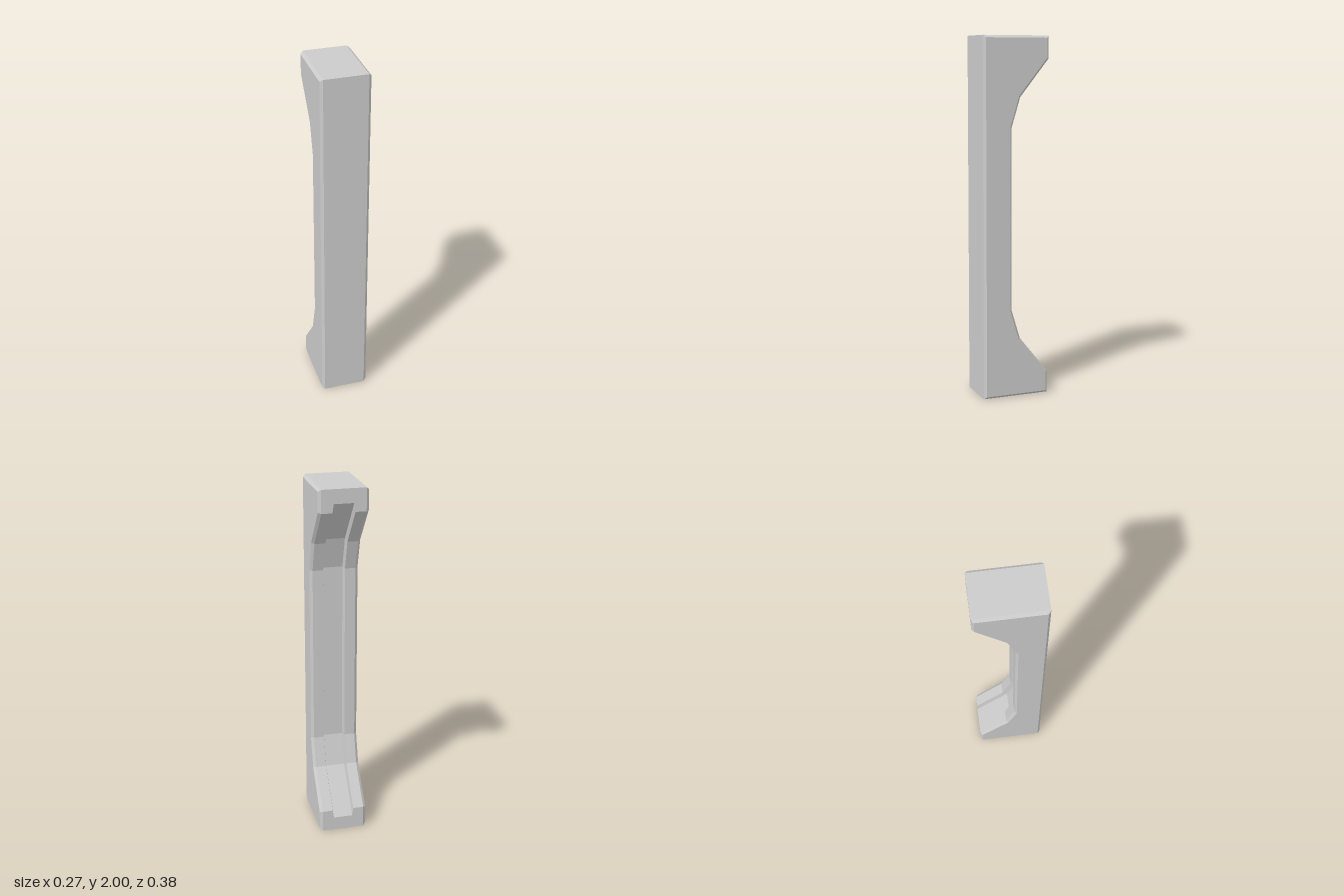
import * as THREE from 'three';

// Side outline (z, y), counter-clockwise seen from +x.
// edge: inset of the outer block; depth: inset of the hollowed back.
function outline(edge, depth) {
  const lower = [
    [0.19 - edge, edge],
    [-0.19 + edge, edge],
    [-0.19 + edge, 0.125 + edge * 1.21 - depth * 1.57],
    [-0.025 + depth * 0.9, 0.33 - depth * 0.49],
    [0.025 + depth, 0.495 - depth * 0.15],
  ];
  const upper = lower.map(([z, y]) => [z, 2 - y]).reverse();
  return [...lower, ...upper];
}

// Stations across the width: [x, edge inset, back inset]
const half = [
  [0.135, 0.013, 0.013], // chamfered side
  [0.12, 0, 0],          // flat border
  [0.061, 0, 0],         // lip of the groove
  [0.054, 0, 0.03],      // groove floor
];
const stations = [
  ...half.map(([x, e, d]) => [-x, e, d]),
  ...half.slice().reverse(),
];

function bracketGeometry() {
  const rings = stations.map(([x, e, d]) =>
    outline(e, d).map(([z, y]) => new THREE.Vector3(x, y, z)));
  const points = [];

  // Skin between neighbouring stations
  for (let k = 0; k < rings.length - 1; k++) {
    const r = rings[k], s = rings[k + 1];
    for (let i = 0; i < r.length; i++) {
      const j = (i + 1) % r.length;
      points.push(r[i], r[j], s[j], r[i], s[j], s[i]);
    }
  }

  // Flat sides
  const first = rings[0], last = rings[rings.length - 1];
  const contour = last.map((p) => new THREE.Vector2(-p.z, p.y));
  for (const [a, b, c] of THREE.ShapeUtils.triangulateShape(contour, [])) {
    points.push(last[a], last[b], last[c], first[a], first[c], first[b]);
  }

  const geometry = new THREE.BufferGeometry().setFromPoints(points);
  geometry.computeVertexNormals();
  return geometry;
}

export function createModel() {
  const group = new THREE.Group();
  group.name = 'groovedBracket';
  const material = new THREE.MeshStandardMaterial({ color: 0xcccccc, flatShading: true });
  const bracket = new THREE.Mesh(bracketGeometry(), material);
  bracket.name = 'bracketBody';
  group.add(bracket);
  return group;
}
